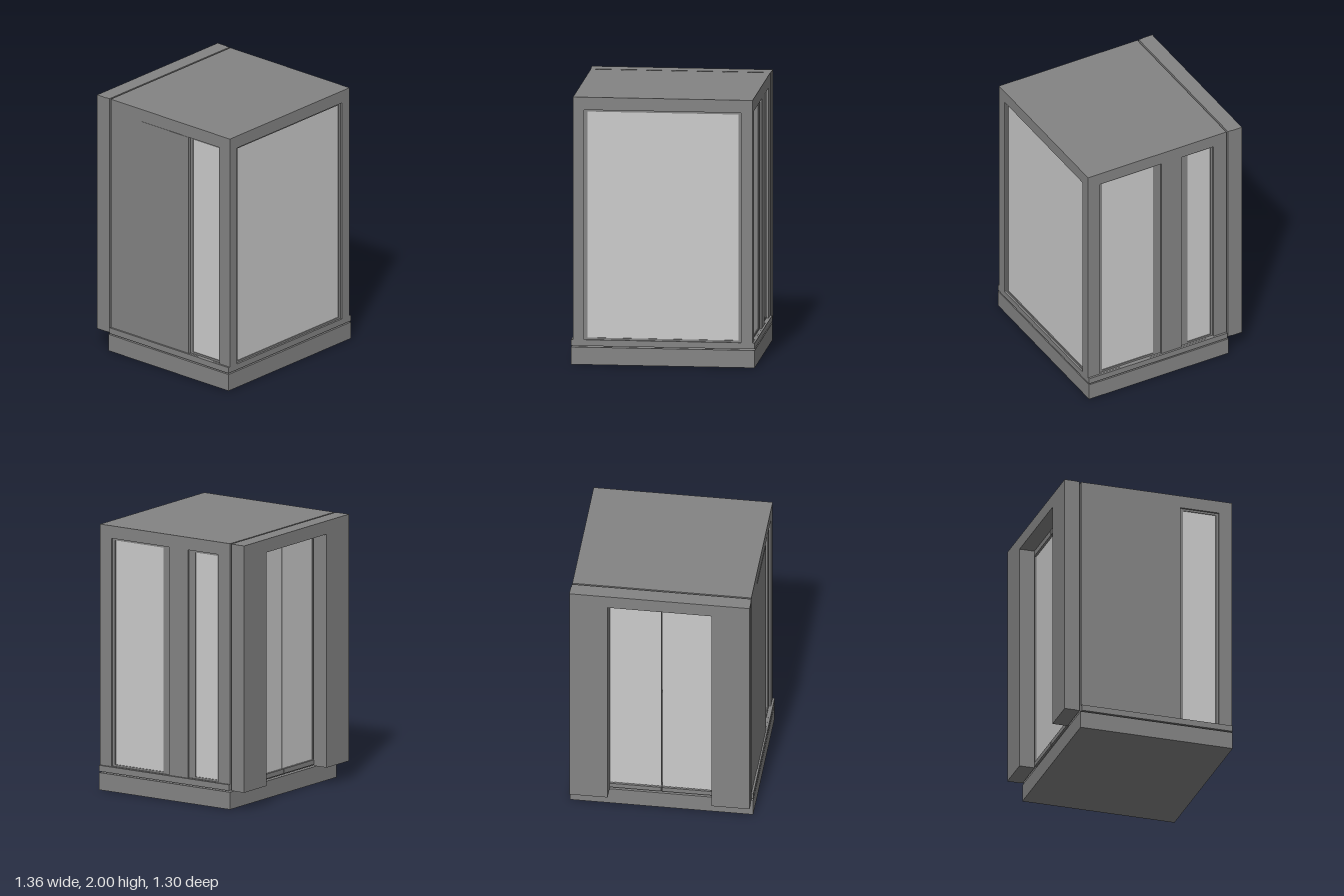
import * as THREE from 'three';

const paint = new THREE.MeshStandardMaterial({ color: 0x848484 });
const pane = new THREE.MeshStandardMaterial({ color: 0xcccccc });
const glow = new THREE.MeshStandardMaterial({ color: 0xffb055 });

// Box given by its [min, max] range on each axis
function box(name, [x0, x1], [y0, y1], [z0, z1], mat = paint) {
  const m = new THREE.Mesh(new THREE.BoxGeometry(x1 - x0, y1 - y0, z1 - z0), mat);
  m.position.set((x0 + x1) / 2, (y0 + y1) / 2, (z0 + z1) / 2);
  m.name = name;
  return m;
}

function trace(path, [u0, u1], [v0, v1]) {
  path.moveTo(u0, v0);
  path.lineTo(u1, v0);
  path.lineTo(u1, v1);
  path.lineTo(u0, v1);
  path.closePath();
  return path;
}

// Slab with rectangular holes; its outer face lies at local z = 0
function slab(name, u, v, holes, thick) {
  const shape = trace(new THREE.Shape(), u, v);
  for (const [hu, hv] of holes) shape.holes.push(trace(new THREE.Path(), hu, hv));
  const geo = new THREE.ExtrudeGeometry(shape, { depth: thick, bevelEnabled: false });
  geo.translate(0, 0, -thick);
  const m = new THREE.Mesh(geo, paint);
  m.name = name;
  return m;
}

const WALL_Y = [0.185, 1.95];
const OPEN_Y = [0.186, 1.905];
const GLASS_Y = [0.2, 1.89];
const T = 0.05;

// Wall with recessed frames and panes; each window = { open: [u0, u1], glass: [u0, u1] }
function windowWall(name, u, windows) {
  const g = new THREE.Group();
  g.name = name;
  g.add(slab('wallPanel', u, WALL_Y, windows.map(w => [w.open, OPEN_Y]), T));
  for (const w of windows) {
    const frame = slab('windowFrame', w.open, OPEN_Y, [[w.glass, GLASS_Y]], 0.025);
    frame.position.z = -0.015;
    g.add(frame, box('windowGlass', w.glass, GLASS_Y, [-0.035, -0.022], pane));
  }
  return g;
}

export function createModel() {
  const model = new THREE.Group();
  model.name = 'liftCab';

  // Platform, light strip and skirt
  model.add(
    box('basePlatform', [-0.68, 0.68], [0, 0.13], [-0.53, 0.65]),
    box('lightStrip', [-0.615, 0.615], [0.13, 0.14], [-0.48, 0.59], glow),
    box('floorSkirt', [-0.68, 0.68], [0.14, 0.185], [-0.52, 0.65]),
    box('roof', [-0.665, 0.665], [1.95, 2], [-0.52, 0.65]),
  );

  // Front wall with one large window
  const front = windowWall('frontWall', [-0.665, 0.665], [
    { open: [-0.585, 0.58], glass: [-0.56, 0.56] },
  ]);
  front.position.z = 0.65;
  model.add(front);

  // Left side wall (+x) with a wide and a narrow window; local u = -z
  const left = windowWall('leftWall', [-0.6, 0.52], [
    { open: [-0.55, -0.03], glass: [-0.525, -0.09] },
    { open: [0.14, 0.41], glass: [0.2, 0.395] },
  ]);
  left.rotation.y = Math.PI / 2;
  left.position.x = 0.665;
  model.add(left);

  // Right side wall (-x) with one window and a closed service panel; local u = z
  const right = windowWall('rightWall', [-0.52, 0.6], [
    { open: [0.25, 0.55], glass: [0.275, 0.53] },
  ]);
  right.add(box('servicePanel', [-0.22, 0.248], OPEN_Y, [-0.01, 0.003]));
  right.rotation.y = -Math.PI / 2;
  right.position.x = -0.665;
  model.add(right);

  // Back wall of the cab around the doorway
  const back = slab('backWall', [-0.615, 0.615], WALL_Y, [[[-0.385, 0.385], [0.186, 1.9]]], T);
  back.rotation.y = Math.PI;
  back.position.z = -0.52;
  model.add(back);

  // Pair of sliding doors with hangers and bottom guides bridging the gap
  for (const s of [-1, 1]) {
    const x = s < 0 ? [-0.385, -0.003] : [0.003, 0.385];
    const door = new THREE.Group();
    door.name = s < 0 ? 'rightDoor' : 'leftDoor';
    door.add(
      box('doorPanel', x, [0.186, 1.9], [-0.518, -0.495], pane),
      box('doorHanger', x, [1.86, 1.9], [-0.535, -0.518]),
      box('doorGuide', x, [0.15, 0.185], [-0.535, -0.52]),
    );
    model.add(door);
  }

  // Landing portal behind the cab: inner lining and outer surround
  for (const [name, half, z] of [
    ['portalLining', 0.667, [-0.565, -0.533]],
    ['portalSurround', 0.67, [-0.65, -0.565]],
  ]) {
    const portal = new THREE.Group();
    portal.name = name;
    portal.add(
      box('portalHeader', [-half, half], [1.9, 2], z),
      box('portalColumnRight', [-half, -0.385], [0.14, 1.9], z),
      box('portalColumnLeft', [0.385, half], [0.14, 1.9], z),
    );
    model.add(portal);
  }

  return model;
}
